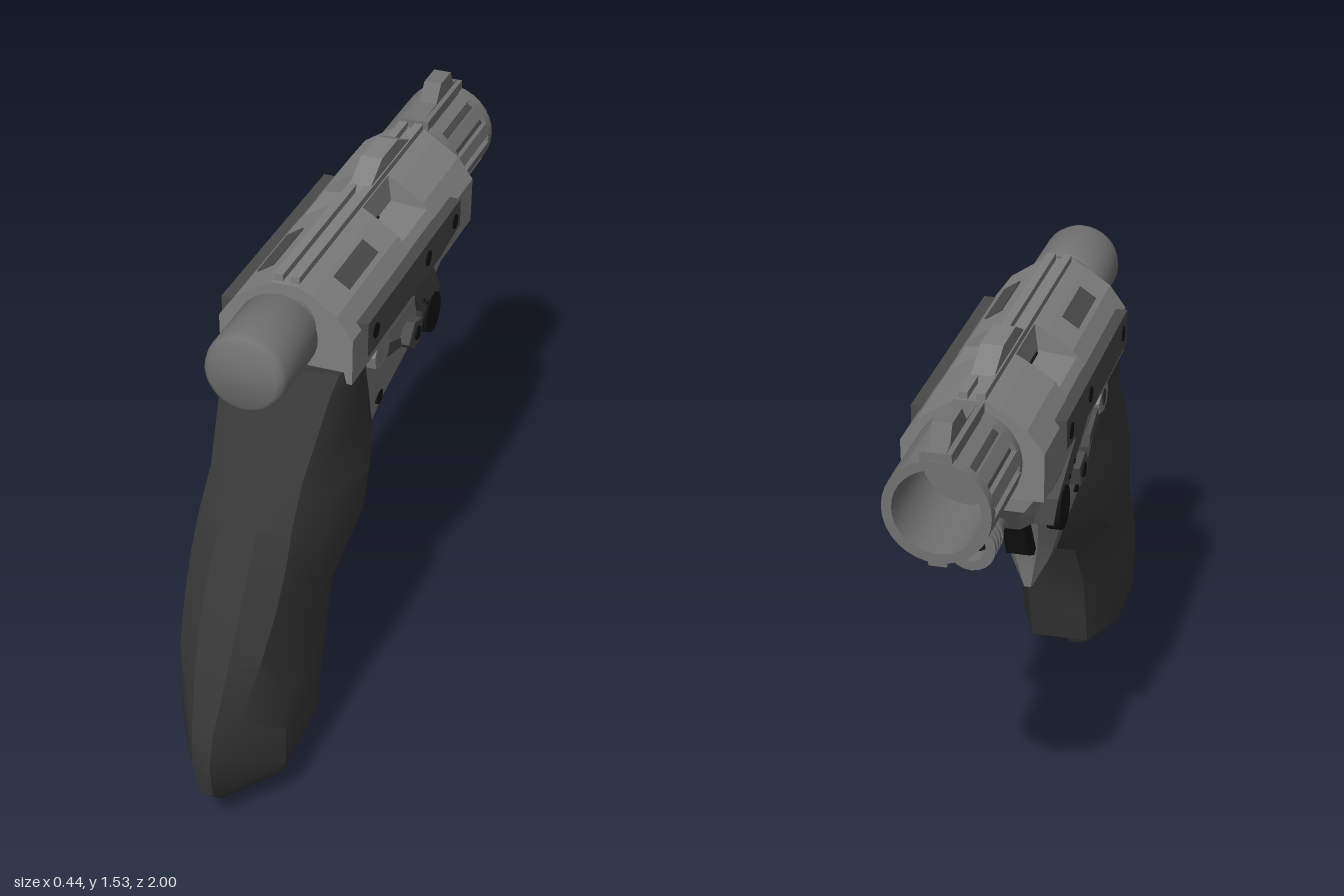
import * as THREE from 'three';
import { toCreasedNormals } from 'three/addons/utils/BufferGeometryUtils.js';

const mat = (name, color) => Object.assign(new THREE.MeshStandardMaterial({ color }), { name });

// Closed loft through descending rings: [zBack, yBack, zFront, yFront, halfWidth, backHalf, frontHalf]
function loft(rings, crease) {
  const pos = [], idx = [], n = 10;
  for (const [zb, yb, zf, yf, w, wb, wf] of rings) {
    const half = [[wb * 0.4, 0], [wb, 0.09], [w, 0.35], [w, 0.74], [wf, 1]];
    const ring = [...half, ...half.slice().reverse().map(([x, t]) => [-x, t])];
    for (const [x, t] of ring) pos.push(x, yb + (yf - yb) * t, zb + (zf - zb) * t);
  }
  for (let r = 0; r < rings.length - 1; r++) {
    for (let i = 0; i < n; i++) {
      const a = r * n + i, b = r * n + (i + 1) % n;
      idx.push(a, a + n, b + n, a, b + n, b);
    }
  }
  const last = (rings.length - 1) * n;
  for (let i = 1; i < n - 1; i++) {
    idx.push(0, i, i + 1);
    idx.push(last, last + i + 1, last + i);
  }
  const g = new THREE.BufferGeometry();
  g.setAttribute('position', new THREE.Float32BufferAttribute(pos, 3));
  g.setIndex(idx);
  return toCreasedNormals(g, crease);
}

// Side silhouette given as [z, y], extruded from x0 to x1
function sideShape(points, x0, x1, hole) {
  const s = new THREE.Shape(points.map(([z, y]) => new THREE.Vector2(-z, y)));
  if (hole) {
    const h = new THREE.Path();
    h.absarc(-hole[0], hole[1], hole[2], 0, Math.PI * 2, true);
    s.holes.push(h);
  }
  const g = new THREE.ExtrudeGeometry(s, { depth: x1 - x0, bevelEnabled: false, curveSegments: 8 });
  return g.rotateY(Math.PI / 2).translate(x0, 0, 0);
}

// Cross-section half profile [x, y], mirrored and extruded from z0 to z1
function crossShape(half, z0, z1) {
  const pts = [...half, ...half.slice().reverse().map(([x, y]) => [-x, y])];
  const s = new THREE.Shape(pts.map(([x, y]) => new THREE.Vector2(x, y)));
  return new THREE.ExtrudeGeometry(s, { depth: z1 - z0, bevelEnabled: false }).translate(0, 0, z0);
}

// Turned part along z from a [radius, z] profile, listed from front (-z) to back
function turned(profile, y, segments = 32, crease = 0.6) {
  const g = new THREE.LatheGeometry(profile.map(([r, z]) => new THREE.Vector2(r, z)), segments);
  return toCreasedNormals(g.rotateX(Math.PI / 2).translate(0, y, 0), crease);
}

export function createModel() {
  const steel = mat('steel', 0x7f7f7f);
  const barrelSteel = mat('barrelSteel', 0x727272);
  const darkSteel = mat('darkSteel', 0x4a4a4a);
  const gripMat = mat('gripCharcoal', 0x373737);
  const black = mat('black', 0x141414);
  const model = new THREE.Group();
  const add = (name, geo, m) => {
    const mesh = new THREE.Mesh(geo, m);
    mesh.name = name;
    model.add(mesh);
    return mesh;
  };
  const box = (name, w, h, d, x, y, z, m) =>
    add(name, new THREE.BoxGeometry(w, h, d).translate(x, y, z), m);

  // Curved grip
  add('grip', loft([
    [0.39, 1.225, 0.21, 1.225, 0.18, 0.165, 0.165],
    [0.46, 1.185, 0.175, 1.16, 0.18, 0.16, 0.165],
    [0.62, 0.985, 0.11, 1.00, 0.168, 0.135, 0.155],
    [0.71, 0.89, 0.07, 0.92, 0.18, 0.137, 0.145],
    [0.78, 0.79, -0.01, 0.83, 0.19, 0.14, 0.12],
    [0.85, 0.68, 0.0, 0.69, 0.18, 0.135, 0.075],
    [0.91, 0.56, 0.23, 0.56, 0.157, 0.12, 0.08],
    [0.98, 0.39, 0.31, 0.40, 0.164, 0.08, 0.09],
    [1.00, 0.29, 0.34, 0.28, 0.16, 0.065, 0.09],
    [0.97, 0.155, 0.375, 0.155, 0.155, 0.05, 0.09],
    [0.91, 0.095, 0.47, 0.115, 0.135, 0.045, 0.085],
    [0.81, 0.045, 0.57, 0.075, 0.095, 0.035, 0.07],
    [0.68, 0.0, 0.61, 0.0, 0.03, 0.015, 0.02],
  ], 0.5), gripMat);

  // Receiver: front, notched middle and rear
  const full = [[0.195, 1.19], [0.197, 1.33], [0.15, 1.395], [0.075, 1.445], [0.04, 1.465]];
  const notched = [[0.195, 1.19], [0.197, 1.33], [0.16, 1.375], [0.05, 1.385], [0.04, 1.465]];
  add('receiverFront', crossShape(full, -0.655, -0.34), steel);
  add('receiverPort', crossShape(notched, -0.34, -0.13), steel);
  add('receiverRear', crossShape(full, -0.13, 0.355), steel);

  // Lower frame tapering down to the spur below the trigger
  add('frame', loft([
    [0.355, 1.195, -0.655, 1.195, 0.195, 0.18, 0.17],
    [0.34, 1.15, -0.65, 1.15, 0.18, 0.16, 0.14],
    [0.28, 1.08, -0.56, 1.08, 0.163, 0.14, 0.10],
    [0.22, 0.97, -0.42, 0.97, 0.15, 0.12, 0.07],
    [0.15, 0.87, -0.17, 0.88, 0.125, 0.10, 0.06],
    [0.10, 0.74, -0.09, 0.735, 0.08, 0.06, 0.04],
    [0.10, 0.65, -0.07, 0.66, 0.055, 0.04, 0.025],
    [-0.02, 0.59, -0.055, 0.578, 0.015, 0.01, 0.01],
  ], 0.3), steel);
  add('trigger', sideShape([[-0.05, 0.74], [-0.11, 0.72], [-0.17, 0.75], [-0.23, 0.87],
    [-0.24, 0.93], [-0.08, 0.93]], -0.034, 0.034), black);

  // Top rib, hump and hammer gap
  for (const s of [-1, 1]) box('topRib', 0.025, 0.05, 0.99, s * 0.024, 1.46, -0.155, steel);
  add('topHump', sideShape([[-0.2, 1.45], [-0.22, 1.485], [-0.31, 1.532], [-0.44, 1.532],
    [-0.54, 1.485], [-0.55, 1.45]], -0.032, 0.032), steel);
  box('hammerGap', 0.11, 0.008, 0.08, 0, 1.386, -0.19, black);

  // Mirrored side fittings
  for (const s of [-1, 1]) {
    const plate = (name, pts, x0, x1, m, hole) =>
      add(name, sideShape(pts, s > 0 ? x0 : -x1, s > 0 ? x1 : -x0, hole), m);
    const stud = (name, r, z, y, x, m, depth = 0.02) =>
      add(name, new THREE.CylinderGeometry(r, r, depth, 16).rotateZ(Math.PI / 2)
        .translate(s * (x - depth / 2), y, z), m);

    plate('sideRail', [[0.29, 1.245], [0.29, 1.35], [-0.485, 1.35], [-0.485, 1.265],
      [-0.3, 1.245]], 0.18, 0.217, darkSteel);

    // Arm leaning inwards towards its pivot
    const arm = plate('railArm', [[-0.02, 1.25], [-0.27, 1.25], [-0.425, 1.08], [-0.43, 1.0],
      [-0.35, 0.965], [-0.29, 1.0], [-0.26, 1.08], [-0.15, 1.2]], 0.15, 0.205, darkSteel);
    const p = arm.geometry.attributes.position;
    for (let i = 0; i < p.count; i++) p.setX(i, p.getX(i) - s * 0.15 * (1.25 - p.getY(i)));
    arm.geometry.computeVertexNormals();
    stud('pivotDisc', 0.064, -0.36, 1.024, 0.184, black, 0.04);
    for (const [z, y, x] of [[-0.26, 1.12, 0.189], [-0.3, 1.09, 0.185]])
      stud('armPin', 0.007, z, y, x, black);

    plate('armLug', [[-0.11, 1.05], [-0.16, 1.10], [-0.23, 1.08], [-0.21, 1.02], [-0.16, 1.01]],
      0.12, 0.195, darkSteel);
    stud('lugScrew', 0.022, -0.18, 1.056, 0.2, black);
    for (const z of [0.23, -0.2, -0.435]) stud('railScrew', 0.023, z, 1.3, 0.22, black);
    stud('frameScrew', 0.024, -0.016, 0.92, 0.142, black, 0.04);

    // Safety lever with a ring end
    plate('leverRing', [[0.16, 1.16], [0.14, 1.19], [0.09, 1.19], [0.04, 1.155], [0.05, 1.12],
      [0.11, 1.105], [0.15, 1.12]], 0.13, 0.19, steel, [0.11, 1.148, 0.026]);
    plate('leverBar', [[0.06, 1.15], [-0.06, 1.105], [-0.07, 1.07], [0.06, 1.105]],
      0.13, 0.187, darkSteel);

    // Dark inset on the sloped shoulder
    const vent = add('shoulderVent', new THREE.BoxGeometry(0.058, 0.008, 0.22), darkSteel);
    vent.position.set(s * 0.112, 1.421, 0.11);
    vent.rotation.z = -s * 0.588;
  }

  // Rear cylinder
  add('rearCylinder', turned([[0, 0.33], [0.09, 0.33], [0.09, 0.395], [0.108, 0.395], [0.117, 0.41],
    [0.117, 0.625], [0.112, 0.645], [0.098, 0.656], [0, 0.656]], 1.348, 32, 0.95), barrelSteel);

  // Fluted hollow muzzle
  const my = 1.312;
  add('barrelNeck', turned([[0, -0.72], [0.115, -0.72], [0.115, -0.6], [0, -0.6]], my), barrelSteel);
  add('muzzleCore', turned([[0.13, -0.98], [0.13, -0.69]], my), darkSteel);
  add('muzzleBore', turned([[0, -0.72], [0.118, -0.72], [0.118, -0.999]], my), barrelSteel);
  const collar = (z0, z1, r) => turned([[0.118, z1], [0.118, z0], [r, z0], [r, z1], [0.118, z1]], my);
  add('muzzleFrontCollar', collar(-1, -0.965, 0.145), barrelSteel);
  add('muzzleRearCollar', collar(-0.71, -0.68, 0.144), barrelSteel);
  for (let i = 0; i < 14; i++) {
    const a = (i / 14) * Math.PI * 2;
    const rib = add('muzzleRib', new THREE.BoxGeometry(0.038, 0.025, 0.27), barrelSteel);
    rib.position.set(Math.sin(a) * 0.132, my + Math.cos(a) * 0.132, -0.835);
    rib.rotation.z = -a;
  }
  box('muzzleKeel', 0.05, 0.03, 0.3, 0, 1.17, -0.845, barrelSteel);
  box('sightBase', 0.085, 0.045, 0.315, 0, 1.455, -0.8395, barrelSteel);
  add('frontSight', sideShape([[-0.70, 1.45], [-0.70, 1.478], [-0.80, 1.482], [-0.84, 1.532],
    [-0.93, 1.532], [-0.955, 1.485], [-0.995, 1.478], [-0.995, 1.45]], -0.027, 0.027), barrelSteel);

  // Small ringed tube beneath the receiver
  const ty = 1.042;
  add('lowerTube', turned([[0, -0.62], [0.042, -0.62], [0.042, -0.68], [0.056, -0.68],
    [0.056, -0.38], [0, -0.38]], ty, 20), barrelSteel);
  add('lowerTubeBore', new THREE.CircleGeometry(0.041, 20).rotateY(Math.PI).translate(0, ty, -0.622), black);
  for (let i = 0; i < 4; i++) {
    const z = -0.68 + i * 0.026;
    add('lowerTubeRing', turned([[0.05, z], [0.069, z], [0.069, z + 0.014], [0.05, z + 0.014]], ty, 20),
      barrelSteel);
  }
  return model;
}
